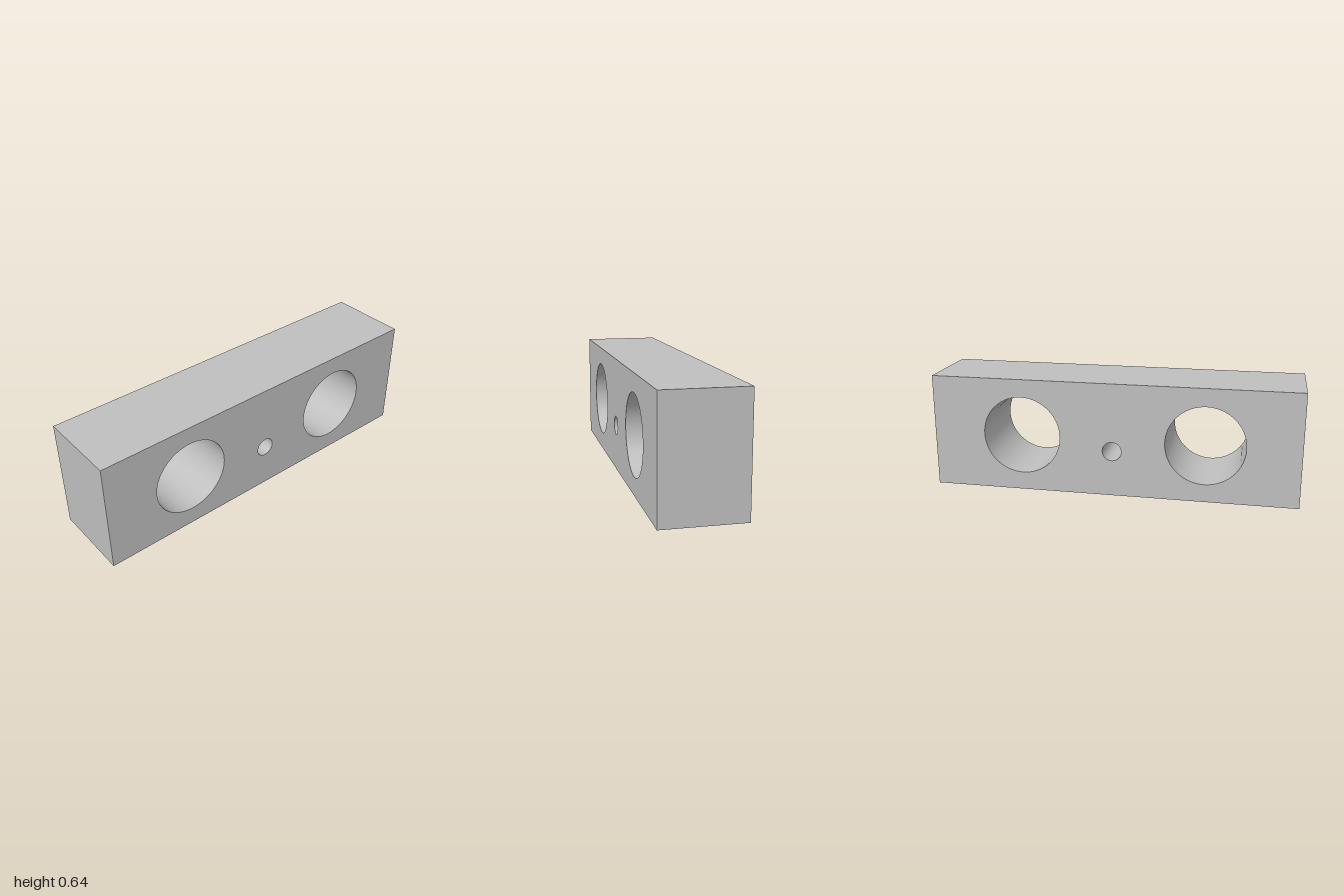
import * as THREE from 'three';
import { toCreasedNormals } from 'three/addons/utils/BufferGeometryUtils.js';

const LENGTH = 2.05, HEIGHT = 0.64, DEPTH = 0.446;

export function createModel() {
  const model = new THREE.Group();
  model.name = 'drilledBlock';

  const grey = new THREE.MeshStandardMaterial({ color: 0xbfbfbf });
  grey.name = 'grey';

  // Front outline of the block
  const outline = new THREE.Shape();
  outline.moveTo(-LENGTH / 2, 0);
  outline.lineTo(LENGTH / 2, 0);
  outline.lineTo(LENGTH / 2, HEIGHT);
  outline.lineTo(-LENGTH / 2, HEIGHT);
  outline.closePath();

  // Two large bores and a small pin hole, all running right through
  const drill = (x, y, radius) => {
    const hole = new THREE.Path();
    hole.absarc(x, y, radius, 0, Math.PI * 2, true);
    outline.holes.push(hole);
  };
  for (const side of [-1, 1]) drill(side * 0.512, HEIGHT / 2, 0.219);
  drill(0, 0.257, 0.053);

  // Smooth bore walls, sharp block edges
  const extruded = new THREE.ExtrudeGeometry(outline, {
    depth: DEPTH, bevelEnabled: false, curveSegments: 32,
  });
  extruded.translate(0, 0, -DEPTH / 2);
  const block = new THREE.Mesh(toCreasedNormals(extruded, Math.PI / 6), grey);
  block.name = 'block';

  // The block stands turned thirty degrees about the vertical
  block.rotation.y = Math.PI / 6;
  model.add(block);

  return model;
}
